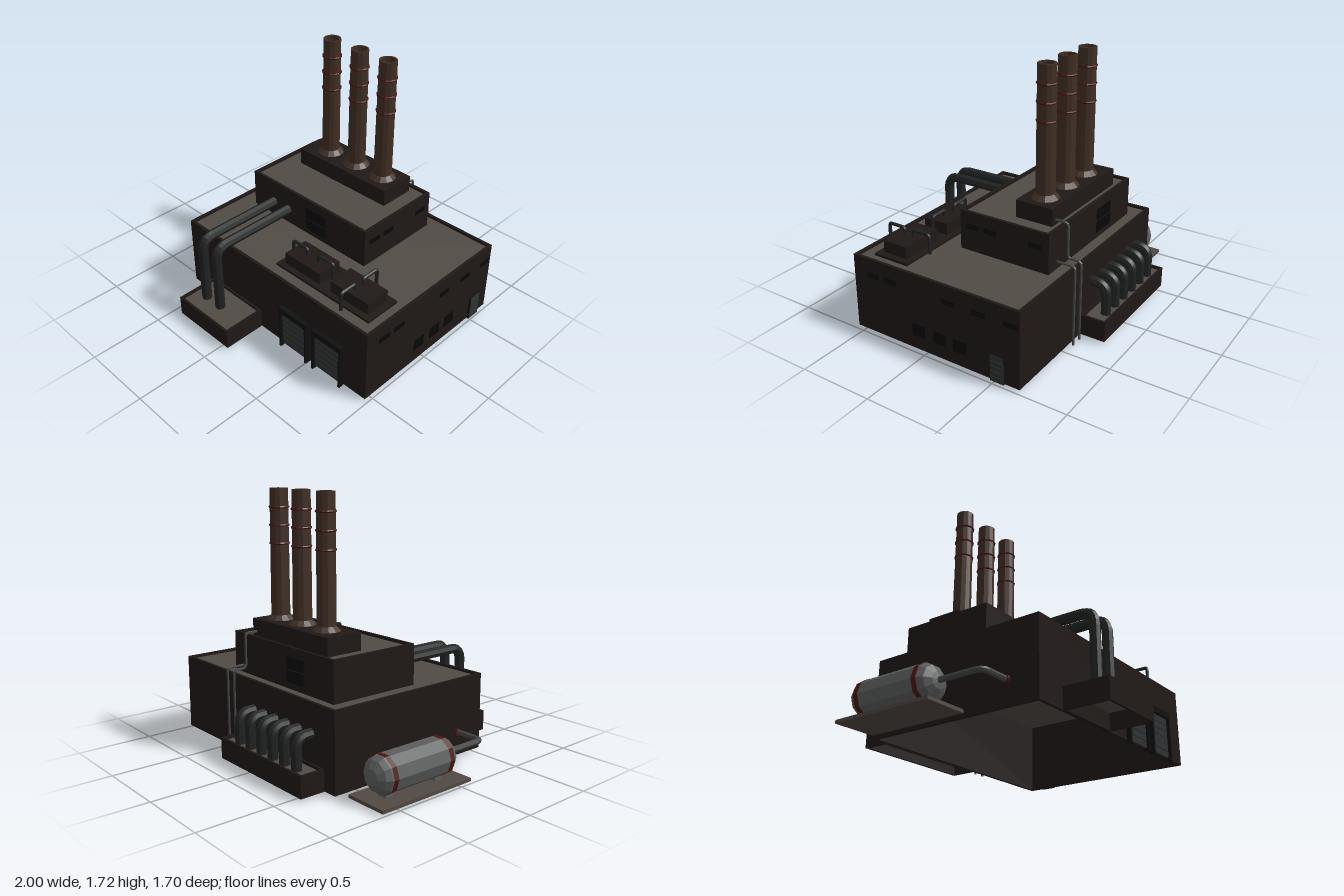
import * as THREE from 'three';

const mat = (color, side = THREE.FrontSide) =>
  new THREE.MeshStandardMaterial({ color, side, flatShading: true });
const M = {
  wall: mat(0x1f1816), roof: mat(0x514b45), brick: mat(0x412f24, THREE.DoubleSide),
  pipe: mat(0x212323, THREE.DoubleSide), thin: mat(0x444646, THREE.DoubleSide),
  tank: mat(0x5c5e5e), red: mat(0x4a1412, THREE.DoubleSide), glass: mat(0x080808),
  door: mat(0x303132), frame: mat(0x0f0f0f), slab: mat(0x514842), soot: mat(0x0c0c0c),
};

export function createModel() {
  const root = new THREE.Group();
  const add = (name, geo, material, parent = root) => {
    const m = new THREE.Mesh(geo, material);
    m.name = name;
    parent.add(m);
    return m;
  };
  const group = (name) => {
    const g = new THREE.Group();
    g.name = name;
    root.add(g);
    return g;
  };
  // box given by its extents
  const box = (name, x0, x1, y0, y1, z0, z1, material, parent) => {
    const m = add(name, new THREE.BoxGeometry(x1 - x0, y1 - y0, z1 - z0), material, parent);
    m.position.set((x0 + x1) / 2, (y0 + y1) / 2, (z0 + z1) / 2);
    return m;
  };
  // tube through points with rounded corners
  const pipe = (name, pts, r, bend, material, parent, sides = 8) => {
    const v = pts.map(p => new THREE.Vector3(...p));
    const path = new THREE.CurvePath();
    let from = v[0];
    for (let i = 1; i < v.length - 1; i++) {
      const a = v[i].clone().add(v[i - 1].clone().sub(v[i]).setLength(bend));
      const b = v[i].clone().add(v[i + 1].clone().sub(v[i]).setLength(bend));
      path.add(new THREE.LineCurve3(from, a));
      path.add(new THREE.QuadraticBezierCurve3(a, v[i].clone(), b));
      from = b;
    }
    path.add(new THREE.LineCurve3(from, v[v.length - 1]));
    return add(name, new THREE.TubeGeometry(path, 48, r, sides), material, parent);
  };

  // hollow block, open underneath: ring of walls of thickness t with a roof sunk below the parapet
  const block = (name, x0, x1, y0, y1, z0, z1, t) => {
    const g = group(name);
    const s = new THREE.Shape([[x0, -z1], [x1, -z1], [x1, -z0], [x0, -z0]].map(p => new THREE.Vector2(...p)));
    s.holes.push(new THREE.Path([[x0 + t, -z1 + t], [x0 + t, -z0 - t], [x1 - t, -z0 - t], [x1 - t, -z1 + t]]
      .map(p => new THREE.Vector2(...p))));
    const walls = new THREE.ExtrudeGeometry(s, { depth: y1 - y0, bevelEnabled: false });
    add('walls', walls.rotateX(-Math.PI / 2).translate(0, y0, 0), M.wall, g);
    const e = t * 0.7;
    box('roof', x0 + e, x1 - e, y1 - 0.03, y1 - 0.018, z0 + e, z1 - e, M.roof, g);
  };
  block('mainHall', -0.65, 0.982, 0.017, 0.527, -0.68, 0.55, 0.02);
  block('upperStorey', -0.517, 0.52, 0.5, 0.775, -0.578, 0.067, 0.02);
  block('frontAnnex', -0.43, 0.055, 0.015, 0.154, 0.55, 0.85, 0.015);
  block('backAnnex', -0.553, 0.29, 0.015, 0.154, -0.85, -0.68, 0.015);
  box('chimneyPlinth', -0.39, 0.39, 0.75, 0.873, -0.52, -0.26, M.wall);

  // chimneys with flared foot, hollow top and red bands
  const profile = [[0.095, 0.865], [0.092, 0.875], [0.062, 0.905], [0.059, 1.717], [0.047, 1.717], [0.047, 1.5]]
    .map(p => new THREE.Vector2(...p));
  for (const x of [-0.219, 0.023, 0.258]) {
    const g = group('chimney');
    g.position.set(x, 0, -0.39);
    add('stack', new THREE.LatheGeometry(profile, 12), M.brick, g);
    add('flue', new THREE.CylinderGeometry(0.047, 0.047, 0.01, 12), M.soot, g).position.y = 1.5;
    for (const y of [1.368, 1.484, 1.598]) {
      const band = add('band', new THREE.TorusGeometry(0.059, 0.008, 6, 12), M.red, g);
      band.rotation.x = Math.PI / 2;
      band.position.y = y;
    }
  }

  // large pipes bending down into the annexes
  for (const x of [-0.32, -0.182])
    pipe('frontPipe', [[x, 0.615, 0.05], [x, 0.615, 0.705], [x, 0.13, 0.705]], 0.034, 0.09, M.pipe);
  for (let i = 0; i < 6; i++) {
    const x = -0.43 + i * 0.1185;
    pipe('backPipe', [[x, 0.338, -0.67], [x, 0.338, -0.788], [x, 0.13, -0.788]], 0.033, 0.075, M.pipe);
  }
  // thin service pipes down the back
  pipe('servicePipe', [[0.348, 0.79, -0.51], [0.348, 0.79, -0.61], [0.348, 0.558, -0.61],
    [0.348, 0.558, -0.705], [0.348, 0.017, -0.705]], 0.009, 0.025, M.thin, root, 6);
  pipe('servicePipe', [[0.423, 0.558, -0.57], [0.423, 0.558, -0.705], [0.423, 0.017, -0.705]],
    0.009, 0.025, M.thin, root, 6);

  // storage tank lying along z on a slab
  const tank = group('tank');
  const R = 0.119;
  const side = Math.PI / 2;
  box('slab', -1, -0.71, 0.016, 0.037, -0.63, 0.08, M.slab, tank);
  for (const z of [-0.48, -0.09]) box('support', -0.895, -0.825, 0.03, 0.09, z - 0.03, z + 0.03, M.tank, tank);
  const cap = (s) => [0, 0.3, 0.6, 0.85, 1].map(t => [R * Math.sin(t * Math.PI / 2), s * 0.095 * Math.cos(t * Math.PI / 2)]);
  const body = [...cap(-1).map(([r, h]) => [r, h - 0.225]), ...cap(1).reverse().map(([r, h]) => [r, h + 0.225])];
  const shell = add('shell', new THREE.LatheGeometry(body.map(p => new THREE.Vector2(...p)), 10, side), M.tank, tank);
  shell.rotation.x = Math.PI / 2;
  shell.position.set(-0.86, 0.174, -0.285);
  for (const z of [-0.508, -0.058]) {
    const b = add('band', new THREE.CylinderGeometry(R + 0.002, R + 0.002, 0.035, 10, 1, true, side), M.red, tank);
    b.rotation.x = Math.PI / 2;
    b.position.set(-0.86, 0.174, z);
  }
  pipe('outlet', [[-0.86, 0.176, 0.02], [-0.86, 0.176, 0.33], [-0.64, 0.176, 0.33]], 0.019, 0.05, M.thin, tank);
  const flange = add('flange', new THREE.CylinderGeometry(0.026, 0.026, 0.02, 10), M.red, tank);
  flange.rotation.z = Math.PI / 2;
  flange.position.set(-0.658, 0.176, 0.33);

  // roof units with small arched pipes
  const units = group('roofUnits');
  box('pad', 0.11, 0.9, 0.505, 0.525, 0.19, 0.45, M.wall, units);
  for (const x of [0.152, 0.55]) box('unit', x, x + 0.305, 0.52, 0.605, 0.23, 0.41, M.wall, units);
  for (const s of [-1, 1]) {
    const a = 0.312 + s * 0.05, b = 0.312 + s * 0.175;
    pipe('arch', [[a, 0.59, 0.32], [a, 0.647, 0.32], [b, 0.647, 0.32], [b, 0.52, 0.32]], 0.012, 0.02, M.pipe, units, 6);
    const c = 0.325 + s * 0.035, d = 0.325 + s * 0.16;
    pipe('arch', [[0.71, 0.59, c], [0.71, 0.647, c], [0.71, 0.647, d], [0.71, 0.52, d]], 0.012, 0.02, M.pipe, units, 6);
  }

  // garage doors with frame and slats
  for (const x of [0.262, 0.555]) {
    const g = group('garageDoor');
    const w = 0.243;
    box('panel', x + 0.01, x + w - 0.01, 0.02, 0.29, 0.54, 0.558, M.frame, g);
    for (let i = 0; i < 6; i++)
      box('slat', x + 0.01, x + w - 0.01, 0.02 + i * 0.044, 0.061 + i * 0.044, 0.55, 0.562, M.door, g);
    box('lintel', x, x + w, 0.283, 0.325, 0.54, 0.582, M.frame, g);
    for (const px of [x, x + w - 0.015]) box('post', px, px + 0.015, 0, 0.29, 0.54, 0.582, M.frame, g);
  }

  // windows on the left wall of both storeys
  const sideWindow = (x, z, y0, y1) => box('window', x - 0.01, x + 0.004, y0, y1, z - 0.047, z + 0.047, M.glass);
  for (const z of [0.396, 0.26, -0.182, -0.398, -0.615]) sideWindow(0.982, z, 0.402, 0.437);
  for (const z of [0.048, -0.11, -0.26]) sideWindow(0.982, z, 0.108, 0.19);
  for (const z of [-0.025, -0.158, -0.482]) sideWindow(0.52, z, 0.658, 0.692);

  // side door
  box('sideDoor', 0.97, 0.996, 0.017, 0.195, -0.58, -0.485, M.frame);
  for (let i = 0; i < 5; i++)
    box('sideDoorPanel', 0.97, 1, 0.02 + i * 0.035, 0.052 + i * 0.035, -0.578, -0.487, M.door);

  // louvred vents on the front and back of the upper storey
  for (const [x, z] of [[0.087, 0.067], [-0.153, -0.578]]) {
    const g = group('vent');
    for (const y of [0.553, 0.64]) {
      box('opening', x - 0.088, x + 0.088, y, y + 0.072, z - 0.008, z + 0.008, M.glass, g);
      for (let i = 0; i < 3; i++)
        box('louvre', x - 0.085, x + 0.085, y + 0.008 + i * 0.022, y + 0.02 + i * 0.022, z - 0.01, z + 0.01, M.glass, g);
    }
  }
  return root;
}
